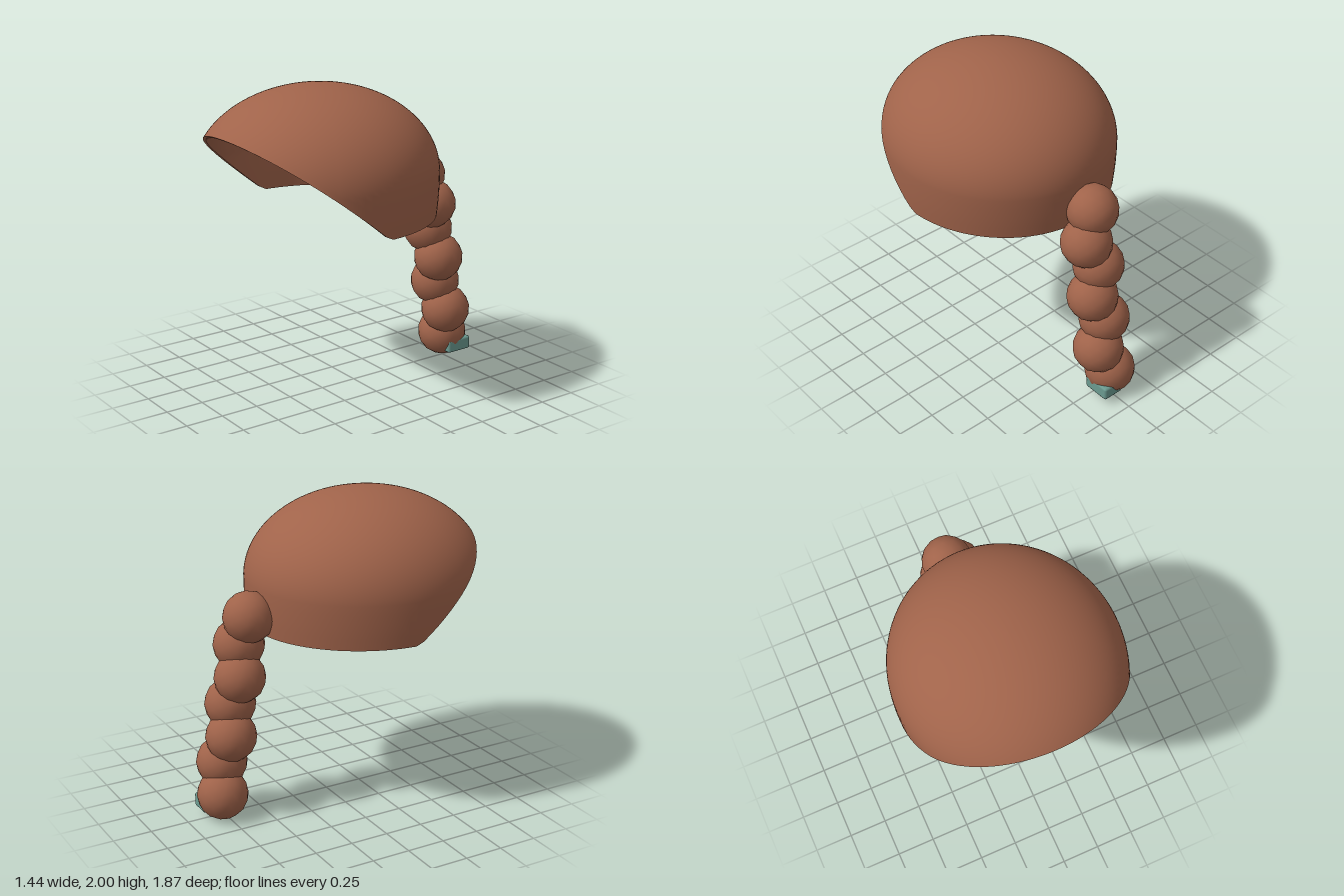
import * as THREE from 'three';
import { RoundedBoxGeometry } from 'three/addons/geometries/RoundedBoxGeometry.js';

const COLS = 96, ROWS = 32;

// Point on the cap's egg shape; t shrinks it inwards.
function eggPoint(theta, phi, t = 0) {
  const s = Math.sin(theta), c = Math.cos(theta);
  const depth = Math.cos(phi) > 0 ? 0.79 : 0.77;
  const height = c > 0 ? 0.55 - t : 1.35;
  return new THREE.Vector3(
    (0.72 - t) * s * Math.sin(phi),
    1.45 + height * c,
    0.27 + (depth - t) * s * Math.cos(phi)
  );
}

// Height of the lower edge: level at the back, rising over the face.
const edgeHeight = (z) => 1.18 + Math.max(0, 0.8 * (z - 0.24));

// Polar angle at which the shape meets the lower edge.
function rimAngle(phi) {
  let lo = 0, hi = Math.PI * 0.7;
  for (let k = 0; k < 40; k++) {
    const mid = (lo + hi) / 2, p = eggPoint(mid, phi);
    if (p.y > edgeHeight(p.z)) lo = mid; else hi = mid;
  }
  return lo;
}

// Closed-around surface from rows of points.
function gridGeometry(rows, pointAt, flip = false) {
  const pos = [], index = [];
  for (let i = 0; i <= rows; i++)
    for (let j = 0; j < COLS; j++) pos.push(...pointAt(i / rows, j).toArray());
  for (let i = 0; i < rows; i++)
    for (let j = 0; j < COLS; j++) {
      const k = (j + 1) % COLS;
      const a = i * COLS + j, b = a + COLS, c = (i + 1) * COLS + k, d = i * COLS + k;
      if (flip) index.push(a, c, b, a, d, c);
      else index.push(a, b, c, a, c, d);
    }
  const g = new THREE.BufferGeometry();
  g.setAttribute('position', new THREE.Float32BufferAttribute(pos, 3));
  g.setIndex(index);
  g.computeVertexNormals();
  return g;
}

export function createModel() {
  const model = new THREE.Group();
  model.name = 'braidedHair';
  const hair = new THREE.MeshStandardMaterial({ color: 0xa0634a });
  hair.name = 'brown hair';
  const teal = new THREE.MeshStandardMaterial({ color: 0x6b9a90 });
  teal.name = 'teal clip';

  const add = (parent, name, geometry, material) => {
    const mesh = new THREE.Mesh(geometry, material);
    mesh.name = name;
    parent.add(mesh);
    return mesh;
  };

  // Hair cap: outer skin, inner skin and the thin rim joining them
  const cap = new THREE.Group();
  cap.name = 'hairCap';
  model.add(cap);
  const phis = Array.from({ length: COLS }, (_, j) => (j / COLS) * Math.PI * 2);
  const rims = phis.map(rimAngle);
  const outer = (v, j) => eggPoint(v * rims[j], phis[j]);
  const inner = (v, j) => eggPoint(v * rims[j], phis[j], 0.06 - 0.04 * v ** 16);
  add(cap, 'capOuter', gridGeometry(ROWS, outer), hair);
  add(cap, 'capInner', gridGeometry(ROWS, inner, true), hair);
  add(cap, 'capRim', gridGeometry(1, (v, j) => (v ? inner(1, j) : outer(1, j))), hair);

  // Braid: seven knots swinging from side to side
  const braid = new THREE.Group();
  braid.name = 'braid';
  model.add(braid);
  const knot = new THREE.IcosahedronGeometry(0.163, 2);
  for (let i = 0; i < 7; i++) {
    const mesh = add(braid, 'braidKnot', knot, hair);
    mesh.position.set(i % 2 ? 0.037 : -0.037, 1.302 - i * 0.19, -0.565 - i * 0.0345);
  }

  // Clip at the end of the braid
  const clip = add(model, 'braidClip', new RoundedBoxGeometry(0.15, 0.09, 0.185, 1, 0.015), teal);
  clip.position.set(0.04, 0.093, -0.808);

  return model;
}
